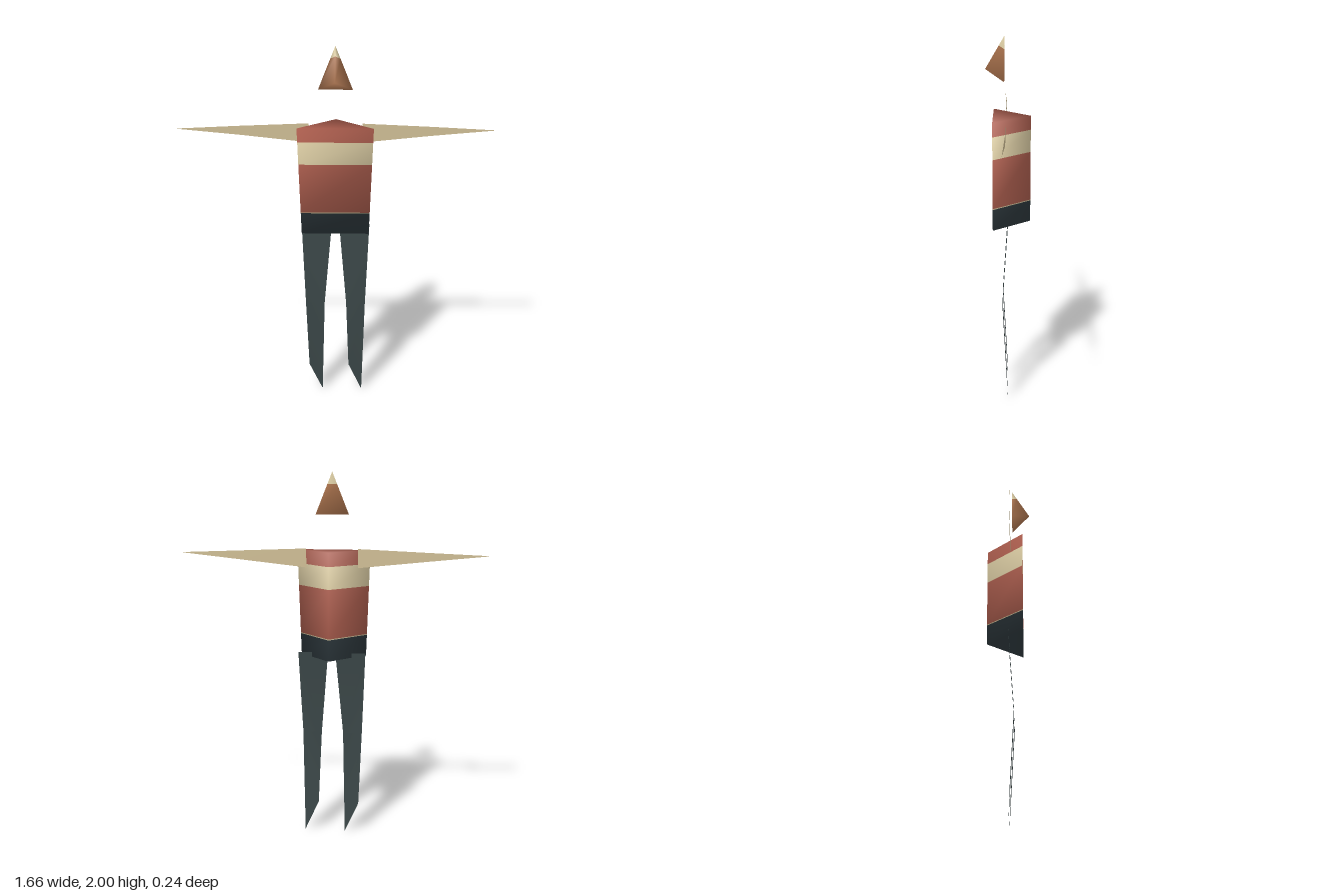
import * as THREE from 'three';

const V = (x, y, z) => new THREE.Vector3(x, y, z);

// Closed three-sided loft with smooth shared normals. Corners run anticlockwise seen from above.
// bands: [[upper limit 0..1, material index], ...] from bottom to top.
function banded(name, bottom, top, bands, materials) {
  const walls = bottom.map((b, i) => {
    const along = bottom[(i + 1) % 3].clone().sub(b);
    return along.cross(top[i].clone().sub(b)).normalize();
  });
  const cornerNormal = (i, up) =>
    walls[i].clone().add(walls[(i + 2) % 3]).add(V(0, up, 0)).normalize();
  const nBottom = bottom.map((_, i) => cornerNormal(i, -0.5));
  const nTop = top.map((_, i) => cornerNormal(i, 0.5));

  const pos = [], nor = [];
  const g = new THREE.BufferGeometry();
  const put = (i, t) => {
    pos.push(...bottom[i].clone().lerp(top[i], t).toArray());
    nor.push(...nBottom[i].clone().lerp(nTop[i], t).normalize().toArray());
  };
  const group = (material, build) => {
    const start = pos.length / 3;
    build();
    g.addGroup(start, pos.length / 3 - start, material);
  };

  group(bands[0][1], () => [0, 2, 1].forEach(i => put(i, 0)));
  let low = 0;
  for (const [high, material] of bands) {
    const from = low;
    group(material, () => {
      for (let i = 0; i < 3; i++) {
        const j = (i + 1) % 3;
        [[i, from], [j, from], [j, high], [i, from], [j, high], [i, high]].forEach(p => put(...p));
      }
    });
    low = high;
  }
  group(bands[bands.length - 1][1], () => [0, 1, 2].forEach(i => put(i, 1)));

  g.setAttribute('position', new THREE.Float32BufferAttribute(pos, 3));
  g.setAttribute('normal', new THREE.Float32BufferAttribute(nor, 3));
  const mesh = new THREE.Mesh(g, materials);
  mesh.name = name;
  return mesh;
}

// Thin sheet between two edge lines that have the same number of points.
function sheet(name, edgeA, edgeB, material) {
  const points = [], index = [];
  edgeA.forEach((a, i) => {
    points.push(V(...a), V(...edgeB[i]));
    if (i) index.push(2 * i - 2, 2 * i - 1, 2 * i + 1, 2 * i - 2, 2 * i + 1, 2 * i);
  });
  const g = new THREE.BufferGeometry().setFromPoints(points);
  g.setIndex(index);
  g.computeVertexNormals();
  const mesh = new THREE.Mesh(g, material);
  mesh.name = name;
  return mesh;
}

export function createModel() {
  const mat = (name, color, side = THREE.FrontSide) => {
    const m = new THREE.MeshStandardMaterial({ color, side });
    m.name = name;
    return m;
  };
  const red = mat('brick red', 0xb06050);
  const cream = mat('cream', 0xdccda4);
  const navy = mat('dark slate', 0x2f3a3f);
  const brown = mat('brown', 0xa8714c);
  const sand = mat('sand', 0xcfbe95, THREE.DoubleSide);
  const slate = mat('slate', 0x3a4647, THREE.DoubleSide);

  const model = new THREE.Group();
  model.name = 'figure';

  // Torso: triangular prism with a point at the back, striped jumper and waistband
  const y0 = 1.005, y1 = 1.585;
  const triangle = (w, y) => [V(w, y, 0.08), V(0, y, -0.12), V(-w, y, 0.08)];
  const at = y => (y - y0) / (y1 - y0);
  model.add(banded('torso', triangle(0.18, y0), triangle(0.2, y1),
    [[at(1.12), 0], [at(1.125), 1], [at(1.39), 2], [at(1.51), 1], [1, 2]],
    [navy, cream, red]));

  // Head: three-sided pyramid with a pale tip
  const tip = V(0, 2, 0.02);
  model.add(banded('head',
    [V(0.09, 1.775, 0.02), V(-0.09, 1.775, 0.02), V(0, 1.83, 0.12)],
    [tip, tip, tip], [[0.71, 0], [1, 1]], [brown, cream]));

  for (const s of [1, -1]) {
    const side = s > 0 ? 'left' : 'right';

    // Arms: flat tapering blades
    model.add(sheet(side + 'Arm',
      [[s * 0.14, 1.595, 0.012], [s * 0.5, 1.58, 0.012], [s * 0.83, 1.566, 0.022]],
      [[s * 0.14, 1.493, 0.012], [s * 0.5, 1.531, 0.012], [s * 0.83, 1.564, 0.022]], sand));

    // Legs: flat strips bent at the knee; both feet slant down towards +x
    const outerFoot = s > 0 ? [0.15, 0, 0] : [-0.15, 0.165, 0.008];
    const innerFoot = s > 0 ? [0.075, 0.165, 0.008] : [-0.075, 0, 0];
    model.add(sheet(side + 'Leg',
      [[s * 0.185, 1.03, 0], [s * 0.165, 0.57, 0.03], outerFoot],
      [[s * 0.02, 1.03, 0], [s * 0.06, 0.57, 0.03], innerFoot], slate));
  }
  return model;
}
